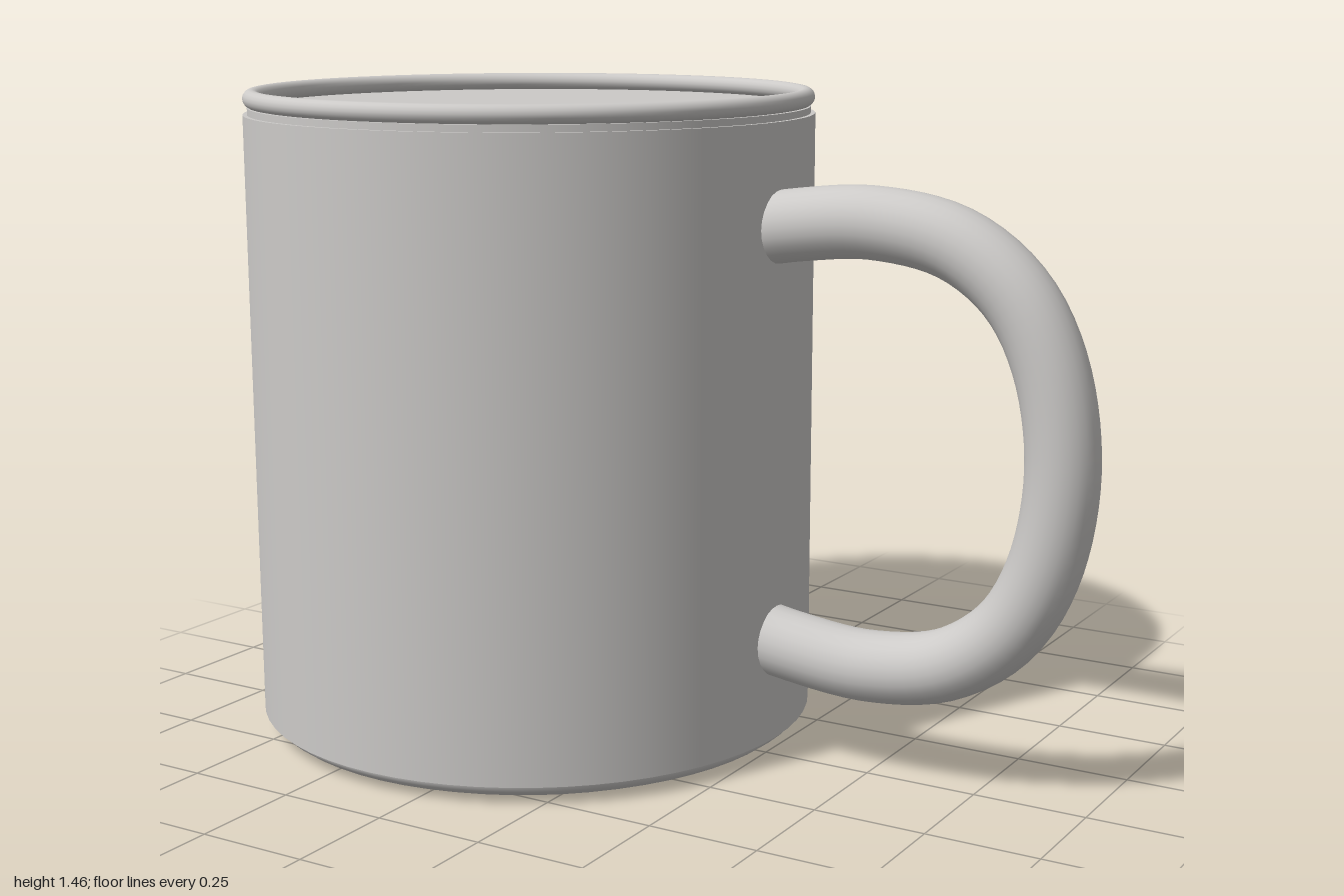
import * as THREE from 'three';

const CENTER_X = -0.363; // axis of the cup
const MID_Y = 0.722; // height the handle is mirrored about

export function createModel() {
  const group = new THREE.Group();
  const enamel = new THREE.MeshStandardMaterial({ color: 0xcccac8 });
  enamel.name = 'light grey enamel';

  function add(name, geometry, x, y) {
    const mesh = new THREE.Mesh(geometry, enamel);
    mesh.name = name;
    mesh.position.set(x, y, 0);
    group.add(mesh);
    return mesh;
  }

  // Straight cup wall with closed ends
  add('body', new THREE.CylinderGeometry(0.637, 0.637, 1.36, 64), CENTER_X, 0.72);

  // Narrow neck under the rim, whose cap is the flat top surface
  add('neck', new THREE.CylinderGeometry(0.627, 0.627, 0.02, 64), CENTER_X, 1.405);

  // Rounded lip
  const rim = add('rim', new THREE.TorusGeometry(0.616, 0.02, 16, 96), CENTER_X, 1.435);
  rim.rotation.x = Math.PI / 2;

  // Foot with a softened lower edge
  const footProfile = [
    [0.575, 0], [0.602, 0.011], [0.62, 0.024], [0.626, 0.034], [0.626, 0.042],
  ].map(([r, y]) => new THREE.Vector2(r, y));
  add('foot', new THREE.LatheGeometry(footProfile, 64), CENTER_X, 0);
  const underside = add('underside', new THREE.CircleGeometry(0.575, 64), CENTER_X, 0);
  underside.rotation.x = Math.PI / 2;

  // Handle: upper half of the path, mirrored below the middle
  const upper = [[0.2, 1.165], [0.32, 1.186], [0.5, 1.2], [0.68, 1.167], [0.81, 1.075], [0.888, 0.935]];
  const lower = upper.map(([x, y]) => [x, 2 * MID_Y - y]).reverse();
  const path = new THREE.CatmullRomCurve3(
    [...upper, [0.922, MID_Y], ...lower].map(([x, y]) => new THREE.Vector3(x, y, 0))
  );
  add('handle', new THREE.TubeGeometry(path, 64, 0.0775, 24), 0, 0);

  return group;
}
